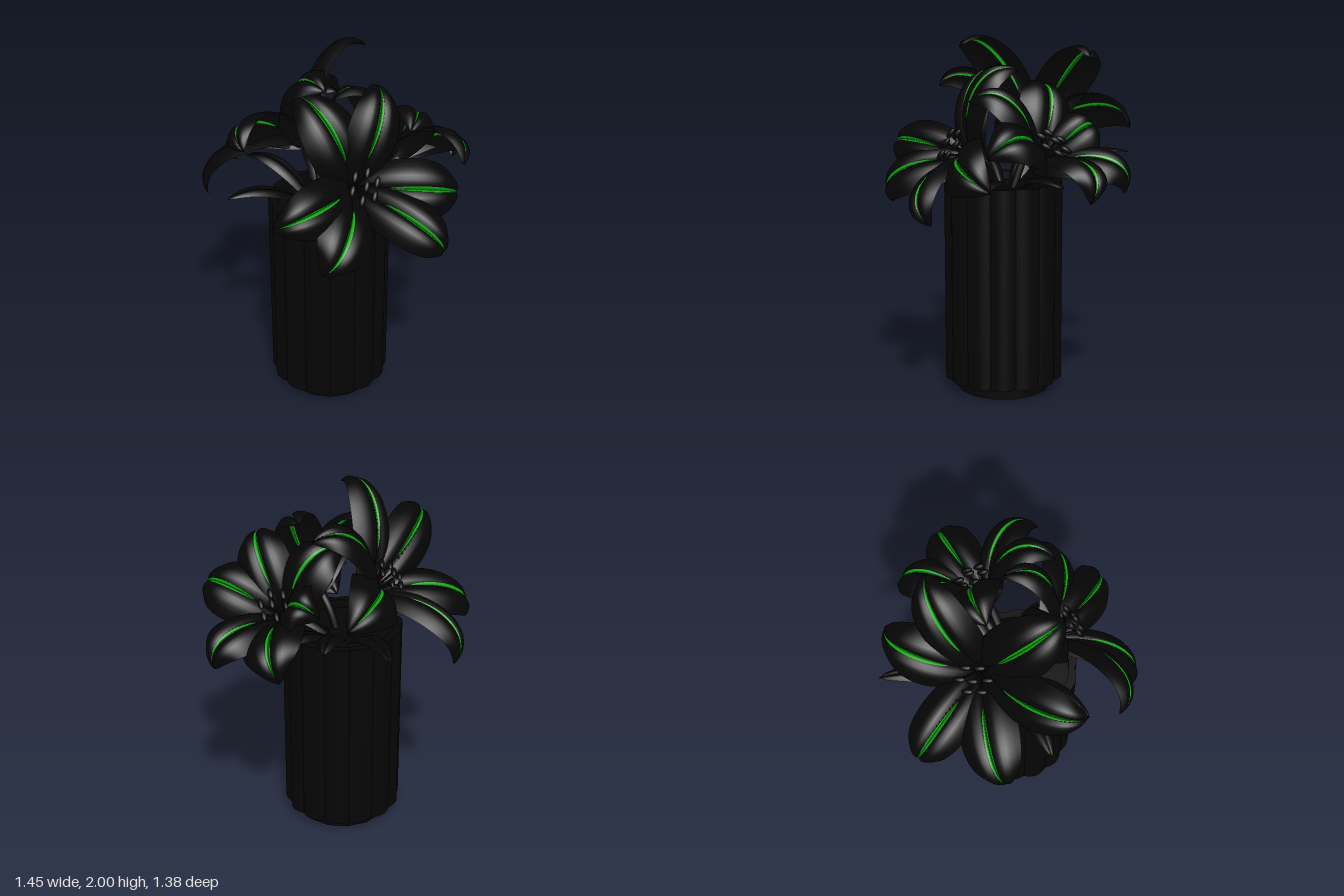
import * as THREE from 'three';
import { ParametricGeometry } from 'three/addons/geometries/ParametricGeometry.js';

const V = (p) => new THREE.Vector3(...p);
const dark = new THREE.MeshStandardMaterial({ color: 0x050505, side: THREE.DoubleSide });
const green = new THREE.MeshStandardMaterial({ color: 0x0ca80c, side: THREE.DoubleSide });

function add(parent, name, geometry, material = dark) {
  const mesh = new THREE.Mesh(geometry, material);
  mesh.name = name;
  parent.add(mesh);
  return mesh;
}

// Curved blade along a path: two bulging halves with a groove down the middle.
// span below 1 gives a tapered strip along the middle; lift raises it off the surface.
function blade(curve, up, halfWidth, bulge, { span = 1, lift = 0, t0 = 0, t1 = 1, nu = 14, nt = 30 } = {}) {
  const side = new THREE.Vector3().subVectors(curve.getPoint(1), curve.getPoint(0)).cross(up).normalize();
  return new ParametricGeometry((a, b, out) => {
    const t = t0 + (t1 - t0) * b;
    const tangent = curve.getTangent(t);
    const normal = new THREE.Vector3().crossVectors(side, tangent).normalize();
    const taper = Math.pow(Math.max(0, Math.sin(Math.PI * Math.pow(t, 0.9))), 0.65);
    const strip = span < 1 ? Math.sqrt(Math.max(0, Math.sin(Math.PI * b))) : 1;
    const u = (a * 2 - 1) * span * strip;
    const rel = Math.abs(u);
    const h = bulge * taper * (Math.sin(Math.PI * Math.pow(rel, 0.8)) - 1.3 * rel * rel);
    out.copy(curve.getPoint(t))
      .addScaledVector(side, u * (halfWidth * taper + 0.012 * (1 - t)))
      .addScaledVector(normal, h + lift);
  }, nu, nt);
}

function flower(name, centre, axisDir, tips) {
  const group = new THREE.Group();
  group.name = name;
  const c = V(centre);
  const axis = V(axisDir).normalize();
  const throat = c.clone().addScaledVector(axis, -0.1);

  // Six recurved petals, alternately broad and narrower, green midrib on both faces
  tips.forEach((p, i) => {
    const tip = V(p);
    const dir = tip.clone().sub(c).normalize();
    const curve = new THREE.CubicBezierCurve3(
      throat,
      c.clone().addScaledVector(axis, 0.14).addScaledVector(dir, 0.1),
      tip.clone().addScaledVector(axis, 0.25).addScaledVector(dir, -0.06),
      tip
    );
    const width = i % 2 ? 0.14 : 0.16;
    add(group, 'petal', blade(curve, axis, width, 0.03));
    for (const lift of [0.004, -0.004]) {
      add(group, 'petalMidrib', blade(curve, axis, width, 0.03,
        { span: 0.09, lift, t0: 0.3, t1: 0.92, nu: 4 }), green);
    }
  });

  // Stamens with oval anthers, and a central pistil
  const q = new THREE.Quaternion().setFromUnitVectors(new THREE.Vector3(0, 1, 0), axis);
  for (let i = 0; i < 7; i++) {
    const r = i < 6 ? 0.075 : 0;
    const a = i * Math.PI / 3 + 0.5;
    const local = (k, y) => new THREE.Vector3(Math.cos(a) * r * k, y, Math.sin(a) * r * k).applyQuaternion(q).add(c);
    const end = local(1, i < 6 ? 0.11 : 0.13);
    const path = new THREE.QuadraticBezierCurve3(throat, local(0.3, 0.05), end);
    add(group, 'stamen', new THREE.TubeGeometry(path, 8, 0.006, 6));
    const anther = add(group, 'anther', new THREE.SphereGeometry(0.02, 10, 8));
    anther.position.copy(end);
    anther.quaternion.copy(q);
    anther.scale.set(0.8, 0.8, 1.7);
  }

  // Stem down into the vase
  const stem = new THREE.CubicBezierCurve3(
    new THREE.Vector3(-0.04, 0.9, 0.02),
    new THREE.Vector3(-0.04 + c.x * 0.3, 1.2, 0.02 + c.z * 0.3),
    throat.clone().addScaledVector(axis, -0.1),
    throat.clone().addScaledVector(axis, 0.03)
  );
  add(group, 'stem', new THREE.TubeGeometry(stem, 16, 0.022, 8));
  return group;
}

function vase() {
  const group = new THREE.Group();
  group.name = 'vase';
  group.position.set(-0.04, 0, 0.022);

  // Fluted wall with a round opening
  const outline = [];
  const lobes = 14, steps = 12;
  for (let i = 0; i < lobes * steps; i++) {
    const a = (i / (lobes * steps)) * Math.PI * 2;
    const r = 0.316 + 0.018 * Math.abs(Math.cos(a * lobes / 2));
    outline.push(new THREE.Vector2(Math.cos(a) * r, Math.sin(a) * r));
  }
  const wall = new THREE.Shape(outline);
  wall.holes.push(new THREE.Path().absarc(0, 0, 0.285, 0, Math.PI * 2, true));
  const geometry = new THREE.ExtrudeGeometry(wall, { depth: 1.13, bevelEnabled: false, curveSegments: 32 });
  geometry.rotateX(-Math.PI / 2);
  add(group, 'vaseWall', geometry).position.y = 0.07;

  // Foot and filling
  add(group, 'vaseFoot', new THREE.CylinderGeometry(0.262, 0.262, 0.07, 14)).position.y = 0.035;
  add(group, 'vaseFloor', new THREE.CylinderGeometry(0.288, 0.288, 0.03, 32)).position.y = 0.085;
  add(group, 'vaseFilling', new THREE.CylinderGeometry(0.286, 0.286, 0.04, 32)).position.y = 1.13;
  return group;
}

export function createModel() {
  const model = new THREE.Group();
  model.name = 'flowerVase';
  model.add(vase());

  // Three blooms: centre, facing direction, petal tips in order round the flower
  model.add(flower('frontFlower', [0.1, 1.37, 0.23], [0.4, 0.49, 0.77], [
    [-0.22, 1.8, 0.0], [0.2, 1.83, -0.06], [0.64, 1.25, 0.08],
    [0.55, 1.06, 0.39], [-0.08, 1.08, 0.63], [-0.33, 1.33, 0.58]
  ]));
  model.add(flower('leftFlower', [-0.2, 1.5, -0.16], [-0.64, 0.72, -0.23], [
    [-0.06, 1.94, 0.26], [-0.47, 1.68, 0.4], [-0.7, 1.22, 0.02],
    [-0.57, 1.17, -0.46], [0.02, 1.5, -0.67], [0.17, 1.89, -0.44]
  ]));
  model.add(flower('rightFlower', [0.31, 1.38, -0.19], [0.42, 0.75, -0.5], [
    [-0.02, 1.7, -0.13], [0.13, 1.46, -0.43], [0.36, 1.2, -0.62],
    [0.68, 1.2, -0.42], [0.68, 1.43, 0.1], [0.38, 1.68, 0.2]
  ]));

  // Slim leaves spilling over the rim
  const up = new THREE.Vector3(0, 1, 0);
  [
    [-0.58, 1.31, 0.24], [-0.33, 1.24, 0.43], [0.34, 1.2, 0.12], [-0.5, 1.34, -0.2],
    [-0.2, 1.33, -0.7], [0.12, 1.24, -0.42], [0.36, 1.22, -0.3]
  ].forEach((p) => {
    const tip = V(p);
    const root = new THREE.Vector3(-0.04 + p[0] * 0.15, 1.12, p[2] * 0.15);
    const mid = root.clone().lerp(tip, 0.5).setY(tip.y + 0.09);
    add(model, 'leaf', blade(new THREE.QuadraticBezierCurve3(root, mid, tip), up, 0.06, 0.012, { nu: 8, nt: 16 }));
  });
  return model;
}
